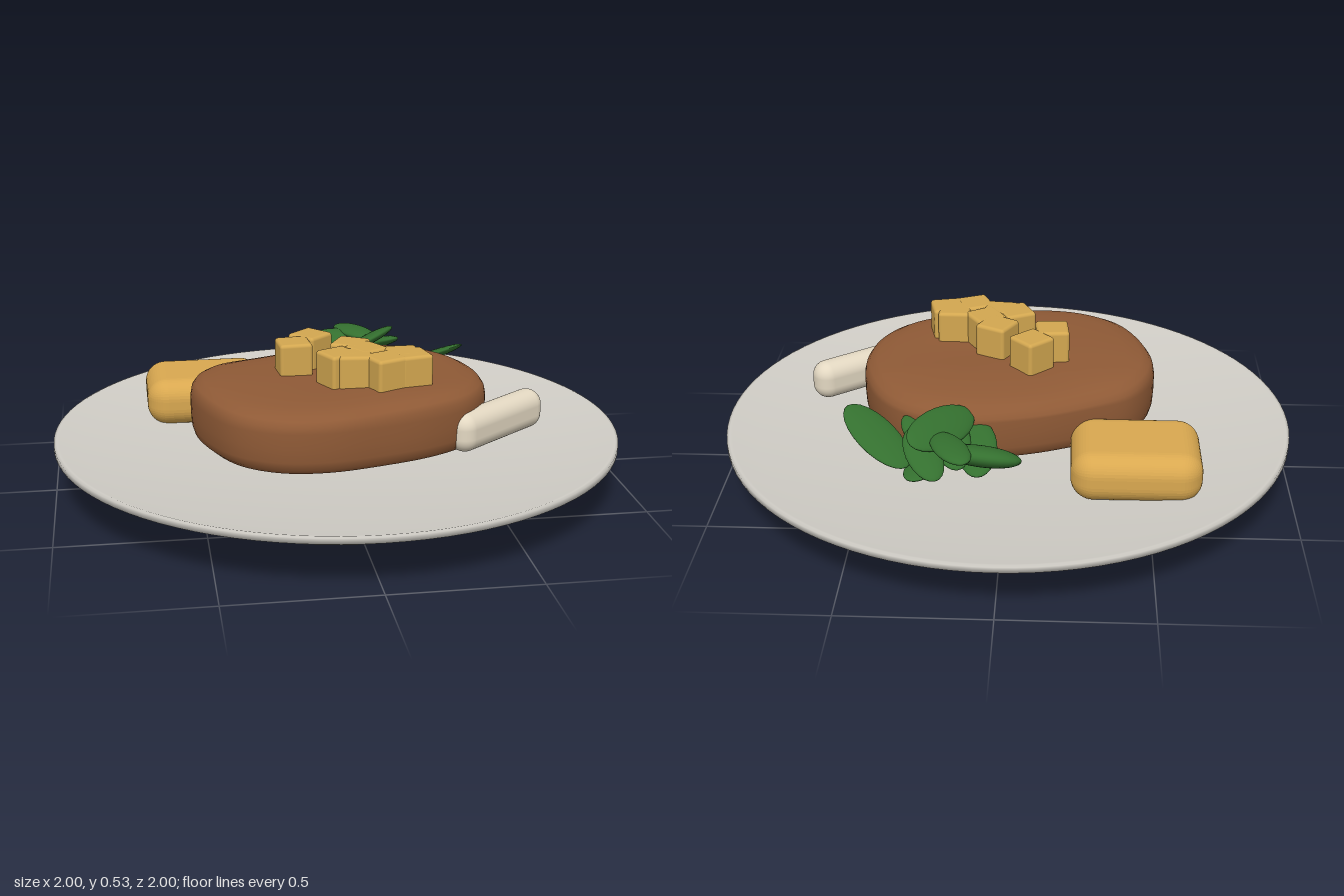
import * as THREE from 'three';
import { RoundedBoxGeometry } from 'three/addons/geometries/RoundedBoxGeometry.js';

const material = (name, color) => {
  const m = new THREE.MeshStandardMaterial({ color });
  m.name = name;
  return m;
};

// Closed outline swept through rings of [scale, height]
function steakGeometry() {
  const outline = [
    [0.09, -0.37], [0.22, -0.355], [0.35, -0.3], [0.44, -0.2], [0.5, -0.05], [0.515, 0.08],
    [0.49, 0.21], [0.41, 0.33], [0.28, 0.41], [0.1, 0.47], [-0.1, 0.51], [-0.26, 0.492],
    [-0.395, 0.405], [-0.48, 0.25], [-0.52, 0.07], [-0.5, -0.06], [-0.43, -0.17], [-0.29, -0.25], [-0.1, -0.33],
  ];
  const curve = new THREE.CatmullRomCurve3(outline.map(([x, z]) => new THREE.Vector3(x, 0, z)), true);
  const n = 96;
  const pts = curve.getSpacedPoints(n);
  const rings = [
    [0.001, 0.192], [0.87, 0.192], [0.94, 0.2], [0.98, 0.218], [0.995, 0.245], [1, 0.29], [1, 0.345],
    [0.99, 0.37], [0.965, 0.388], [0.91, 0.402], [0.8, 0.412], [0.6, 0.416], [0.4, 0.414], [0.2, 0.412], [0.001, 0.412],
  ];
  const pos = [], idx = [];
  rings.forEach(([s, h], r) => {
    for (let i = 0; i < n; i++) {
      const a = (i / n) * Math.PI * 2;
      const z = 0.07 + (pts[i].z - 0.07) * s;
      // Uneven top that falls a little towards the back
      const wave = r > 6 ? 0.005 * Math.sin(3 * a + 1) * s - 0.07 * Math.max(0, -z - 0.1) : 0;
      pos.push(pts[i].x * s, h + wave, z);
      if (r < rings.length - 1) {
        const p = r * n + i, q = r * n + (i + 1) % n;
        idx.push(p, p + n, q, q, p + n, q + n);
      }
    }
  });
  const g = new THREE.BufferGeometry();
  g.setAttribute('position', new THREE.Float32BufferAttribute(pos, 3));
  g.setIndex(idx);
  g.computeVertexNormals();
  return g;
}

export function createModel() {
  const group = new THREE.Group();
  const ceramic = material('plate grey', 0xd0cdc6);
  const meat = material('steak brown', 0x8f5a36);
  const golden = material('golden potato', 0xd9a850);
  const cubeGold = material('cube gold', 0xd3a750);
  const green = material('leaf green', 0x34702f);
  const cream = material('cream', 0xe3d8c2);

  const add = (name, geometry, mat, x = 0, y = 0, z = 0) => {
    const m = new THREE.Mesh(geometry, mat);
    m.name = name;
    m.position.set(x, y, z);
    group.add(m);
    return m;
  };

  // Plate: foot and flared underside, thin rim, shallow curved dish
  const profile = [[0, 0], [0.55, 0], [0.6, 0.037], [0.78, 0.07], [1, 0.17], [1, 0.19], [0.99, 0.193]]
    .map(([x, y]) => new THREE.Vector2(x, y));
  for (let i = 12; i >= 0; i--) {
    const r = 0.98 * i / 12;
    profile.push(new THREE.Vector2(r, 0.12 + 0.073 * r * r));
  }
  add('plate', new THREE.LatheGeometry(profile, 96), ceramic);

  add('steak', steakGeometry(), meat);

  // Diced cubes on the steak: x, z, turn
  const cube = new RoundedBoxGeometry(0.115, 0.125, 0.115, 3, 0.012);
  [
    [-0.085, -0.055, 0.75], [-0.155, 0.035, 0.08], [0.04, 0.065, -0.5], [0.085, 0.14, 0.55],
    [-0.02, 0.185, 0.45], [0.035, 0.205, -0.1], [0.13, 0.255, 0.4], [0.2, 0.192, 0.0],
    [0.228, 0.225, 0.22],
  ].forEach(([x, z, turn], i) => {
    add('dicedCube' + (i + 1), cube, cubeGold, x, 0.463 - i * 0.0003, z).rotation.y = turn;
  });

  // Large potato block, sides pushed out a little by a rule
  const block = new RoundedBoxGeometry(0.42, 0.17, 0.345, 6, 0.07);
  const p = block.attributes.position;
  for (let i = 0; i < p.count; i++) {
    const x = p.getX(i), z = p.getZ(i);
    p.setX(i, x * (1.05 - 1.1 * z * z));
    p.setZ(i, z * (1.05 - 0.9 * x * x));
  }
  block.computeVertexNormals();
  add('potatoBlock', block, golden, -0.445, 0.225, -0.375);

  // Cream wedge leaning beside the steak
  add('creamWedge', new RoundedBoxGeometry(0.45, 0.14, 0.108, 6, 0.053), cream, 0.53, 0.264, 0.224).rotation.y = 0.66;

  // Leaves: x, y, z, length, width, thickness, turn, pitch, roll
  const leaf = new THREE.SphereGeometry(0.5, 24, 16);
  const leaves = new THREE.Group();
  leaves.name = 'leaves';
  group.add(leaves);
  [
    [0.06, 0.335, -0.575, 0.26, 0.14, 0.07, -0.05, 0.1, 0.4],
    [0.42, 0.31, -0.405, 0.31, 0.15, 0.035, -0.7, 0.45, -0.1],
    [0.16, 0.37, -0.59, 0.23, 0.11, 0.04, -1.1, 0, 0],
    [0.2, 0.375, -0.46, 0.31, 0.15, 0.04, 0.96, 0, -0.5],
    [0.25, 0.33, -0.56, 0.24, 0.12, 0.04, -1.15, 0.35, 0],
    [0.08, 0.3, -0.46, 0.26, 0.13, 0.04, 1.6, -0.3, 0],
    [0.17, 0.33, -0.44, 0.28, 0.13, 0.04, 1.8, -0.4, 0],
    [0.25, 0.235, -0.45, 0.26, 0.12, 0.03, 1.2, 0, 0],
    [0.29, 0.3, -0.36, 0.16, 0.09, 0.04, -0.9, 0.5, 0],
  ].forEach(([x, y, z, l, w, t, turn, pitch, roll], i) => {
    const m = new THREE.Mesh(leaf, green);
    m.name = 'leaf' + (i + 1);
    m.position.set(x, y, z);
    m.scale.set(l, t, w);
    m.rotation.set(roll, turn, pitch, 'YZX');
    leaves.add(m);
  });

  return group;
}
